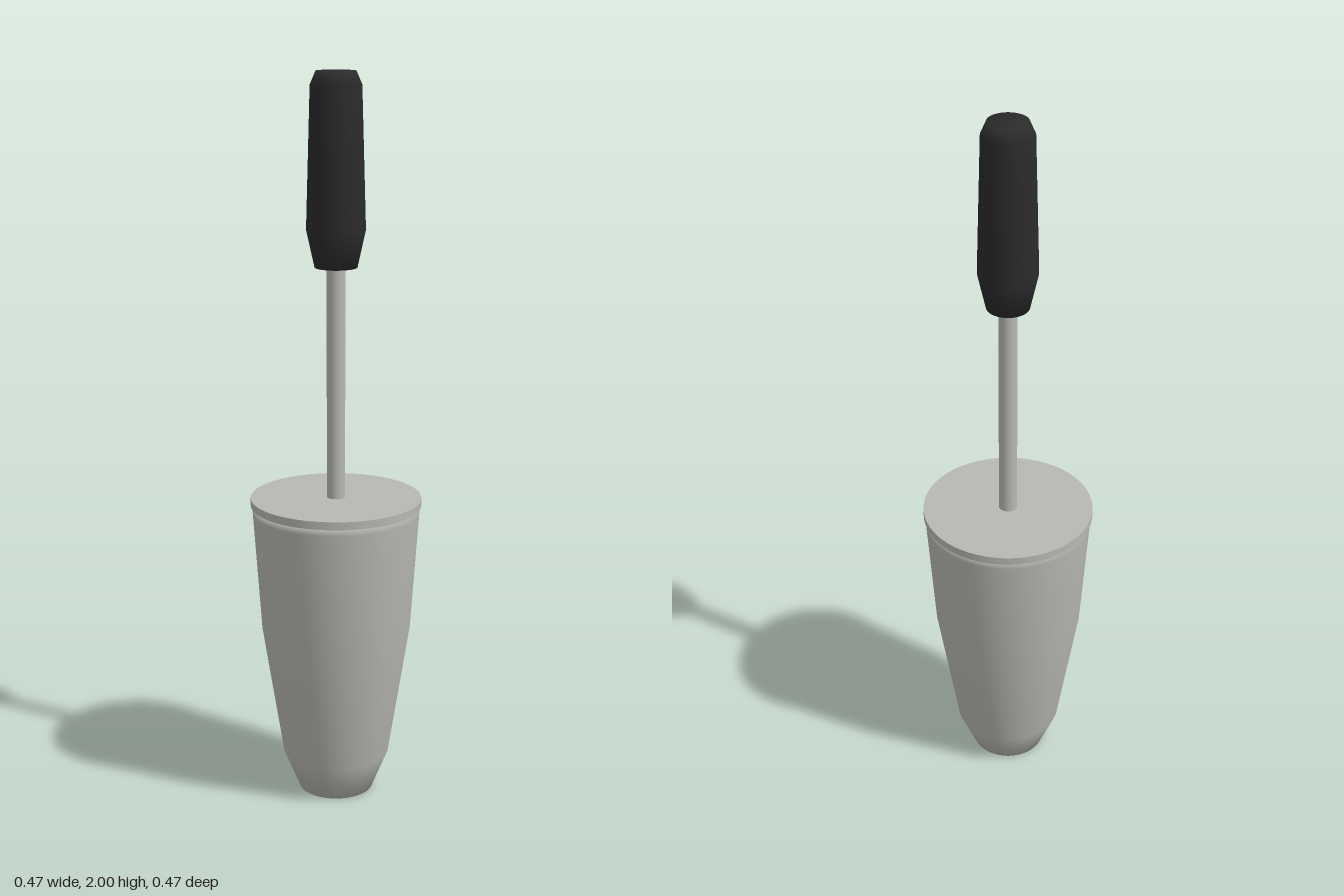
import * as THREE from 'three';

const steel = new THREE.MeshStandardMaterial({ color: 0xb8b8b2 });
steel.name = 'brushed steel';
const rubber = new THREE.MeshStandardMaterial({ color: 0x2b2b2b });
rubber.name = 'black rubber';

// Solid of revolution from [radius, height] points, listed bottom to top
function turned(name, profile, material) {
  const points = profile.map(([r, y]) => new THREE.Vector2(r, y));
  const mesh = new THREE.Mesh(new THREE.LatheGeometry(points, 64), material);
  mesh.name = name;
  return mesh;
}

function rod(name, radius, bottom, top, material) {
  const mesh = new THREE.Mesh(new THREE.CylinderGeometry(radius, radius, top - bottom, 64), material);
  mesh.position.y = (bottom + top) / 2;
  mesh.name = name;
  return mesh;
}

export function createModel() {
  const group = new THREE.Group();
  group.name = 'weightedTool';

  // Tapered weight with a narrow foot and a softened top edge
  group.add(turned('weightBody', [
    [0, 0], [0.103, 0], [0.148, 0.11], [0.206, 0.48], [0.229, 0.815], [0.225, 0.835], [0, 0.835],
  ], steel));

  // Thin flat lid
  group.add(rod('lid', 0.234, 0.834, 0.856, steel));

  // Slim shaft running up into the grip
  group.add(rod('shaft', 0.025, 0.85, 1.52, steel));

  // Grip, widest near its lower end
  group.add(turned('grip', [
    [0, 1.49], [0.057, 1.49], [0.079, 1.59], [0.068, 1.965], [0.053, 2], [0, 2],
  ], rubber));

  return group;
}
